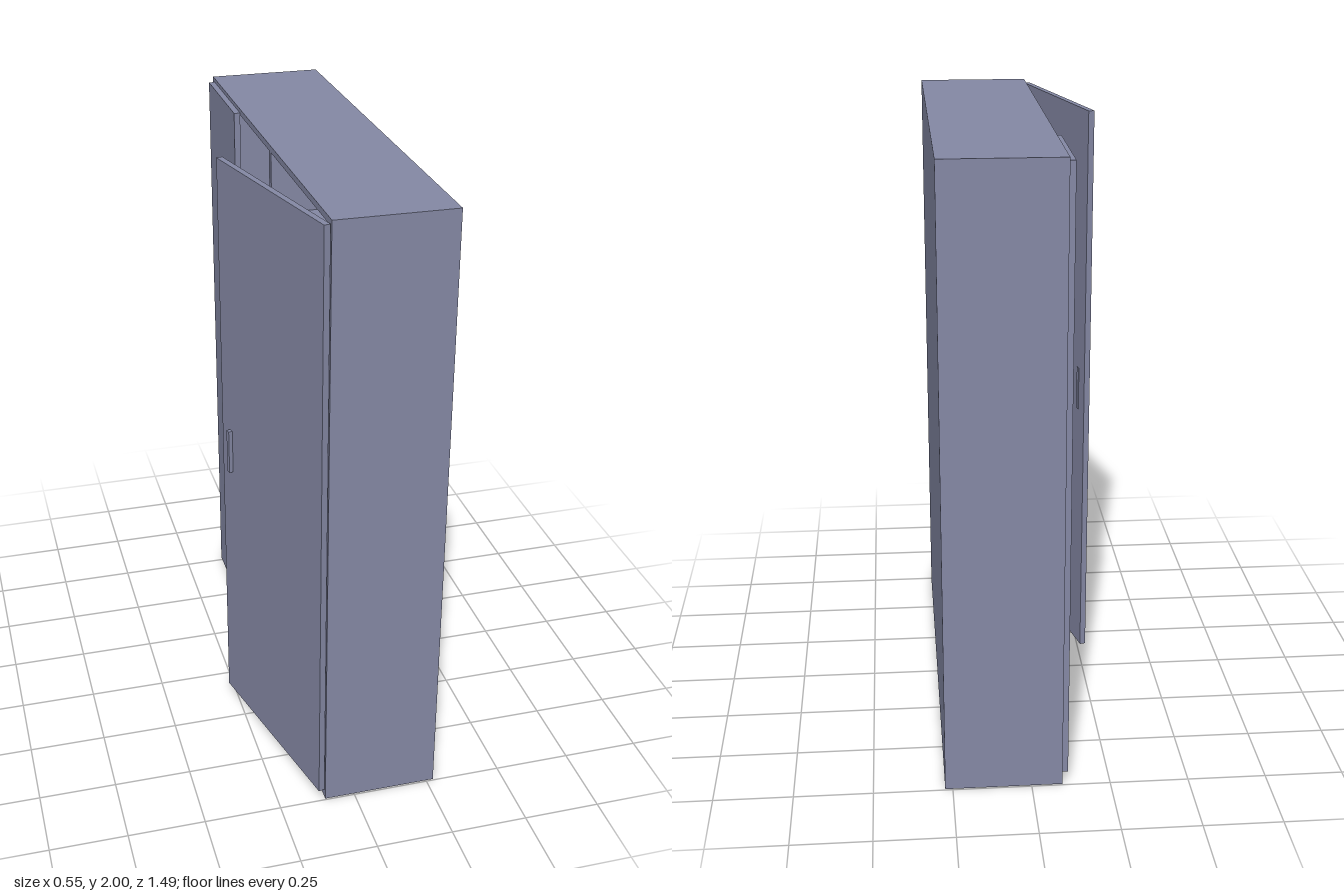
import * as THREE from 'three';

export function createModel() {
  const model = new THREE.Group();
  model.name = 'wardrobe';
  const material = new THREE.MeshStandardMaterial({ color: 0x8589a5 });

  // Box given by its lower and upper limits on each axis
  function panel(name, [x0, x1], [y0, y1], [z0, z1], parent = model) {
    const mesh = new THREE.Mesh(new THREE.BoxGeometry(x1 - x0, y1 - y0, z1 - z0), material);
    mesh.position.set((x0 + x1) / 2, (y0 + y1) / 2, (z0 + z1) / 2);
    mesh.name = name;
    parent.add(mesh);
    return mesh;
  }

  const front = -0.098, back = 0.274, half = 0.745, t = 0.02;
  const inner = half - t, inside = back - 0.035;
  const divider = [0.055, 0.08];
  const ceiling = 2 - t;

  // Carcass, opening towards -x
  for (const s of [-1, 1]) {
    const z = [s * half, s * inner].sort((a, b) => a - b);
    panel('sidePanel', [front, back], [0, 2], z);
  }
  panel('topPanel', [front, back], [ceiling, 2], [-inner, inner]);
  panel('floorPanel', [front, back], [0, t], [-inner, inner]);
  panel('backPanel', [inside, back], [t, ceiling], [-inner, inner]);
  panel('divider', [front, inside], [t, ceiling], divider);

  // Shelves, set back from the opening
  const shelfFront = -0.05;
  for (const y of [1.573, 1.353, 1.093]) {
    panel('shelf', [shelfFront, inside], [y - t, y], [-inner, divider[0]]);
  }
  panel('hatShelf', [shelfFront, inside], [1.765, 1.785], [divider[1], inner]);

  // Closed narrow door with its handle
  const closedDoor = new THREE.Group();
  closedDoor.name = 'closedDoor';
  panel('closedDoorPanel', [front - t, front], [0.03, 1.987], [-0.722, -0.333], closedDoor);
  panel('closedDoorHandle', [-0.145, front - t], [0.937, 1.088], [-0.407, -0.391], closedDoor);
  model.add(closedDoor);

  // Wide door, swung partly open about its outer edge
  const openDoor = new THREE.Group();
  openDoor.name = 'openDoor';
  openDoor.position.set(-0.109, 0, 0.74);
  openDoor.rotation.y = Math.atan2(0.155, 0.64);
  panel('openDoorPanel', [-t / 2, t / 2], [0.033, 1.987], [-0.658, 0], openDoor);
  panel('openDoorHandle', [-0.023, 0.012], [0.937, 1.088], [-0.604, -0.588], openDoor);
  model.add(openDoor);

  return model;
}
